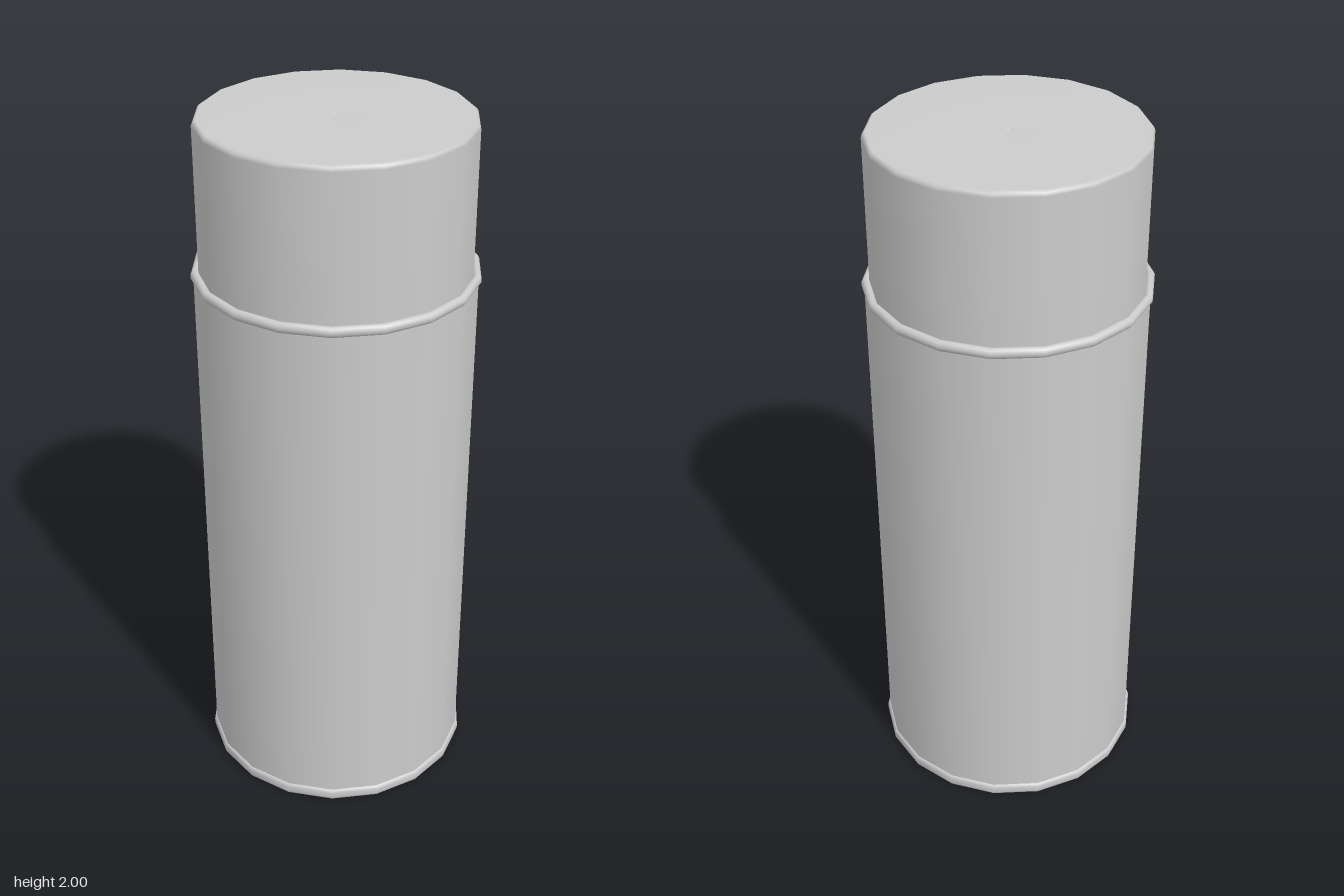
import * as THREE from 'three';

const SIDES = 18;

export function createModel() {
  const group = new THREE.Group();
  const material = new THREE.MeshStandardMaterial({ color: 0xcccccc });

  // Revolve a profile of [radius, height] pairs listed from bottom to top
  function turned(name, profile) {
    const points = profile.map(([r, y]) => new THREE.Vector2(r, y));
    const mesh = new THREE.Mesh(new THREE.LatheGeometry(points, SIDES), material);
    mesh.name = name;
    group.add(mesh);
  }

  // Concave base dome
  const dome = [];
  for (let i = 0; i <= 6; i++) {
    const t = i / 6;
    dome.push([0.372 * t, 0.012 + 0.1 * (1 - t * t)]);
  }
  turned('baseDome', dome);

  // Crimped ring around the foot
  turned('bottomRim', [
    [0.37, 0.014], [0.374, 0.003], [0.38, 0], [0.388, 0.003], [0.391, 0.01],
    [0.391, 0.026], [0.388, 0.034], [0.383, 0.036],
  ]);

  // Straight can wall
  turned('body', [[0.384, 0.03], [0.384, 1.565]]);

  // Rolled ring at the top of the wall
  const roll = [];
  for (let i = 0; i <= 8; i++) {
    const a = -Math.PI / 2 + (i / 8) * Math.PI * 1.5;
    roll.push([0.379 + 0.013 * Math.cos(a), 1.572 + 0.015 * Math.sin(a)]);
  }
  turned('topRim', roll);

  // Shoulder closing the gap between the ring and the cap
  turned('shoulder', [[0.38, 1.57], [0.36, 1.57]]);

  // Cap with a small bevel and a tiny dimple in the centre
  turned('cap', [
    [0.37, 1.565], [0.37, 1.985], [0.367, 1.994], [0.36, 2],
    [0.008, 2], [0.006, 1.996], [0, 1.994],
  ]);

  return group;
}
